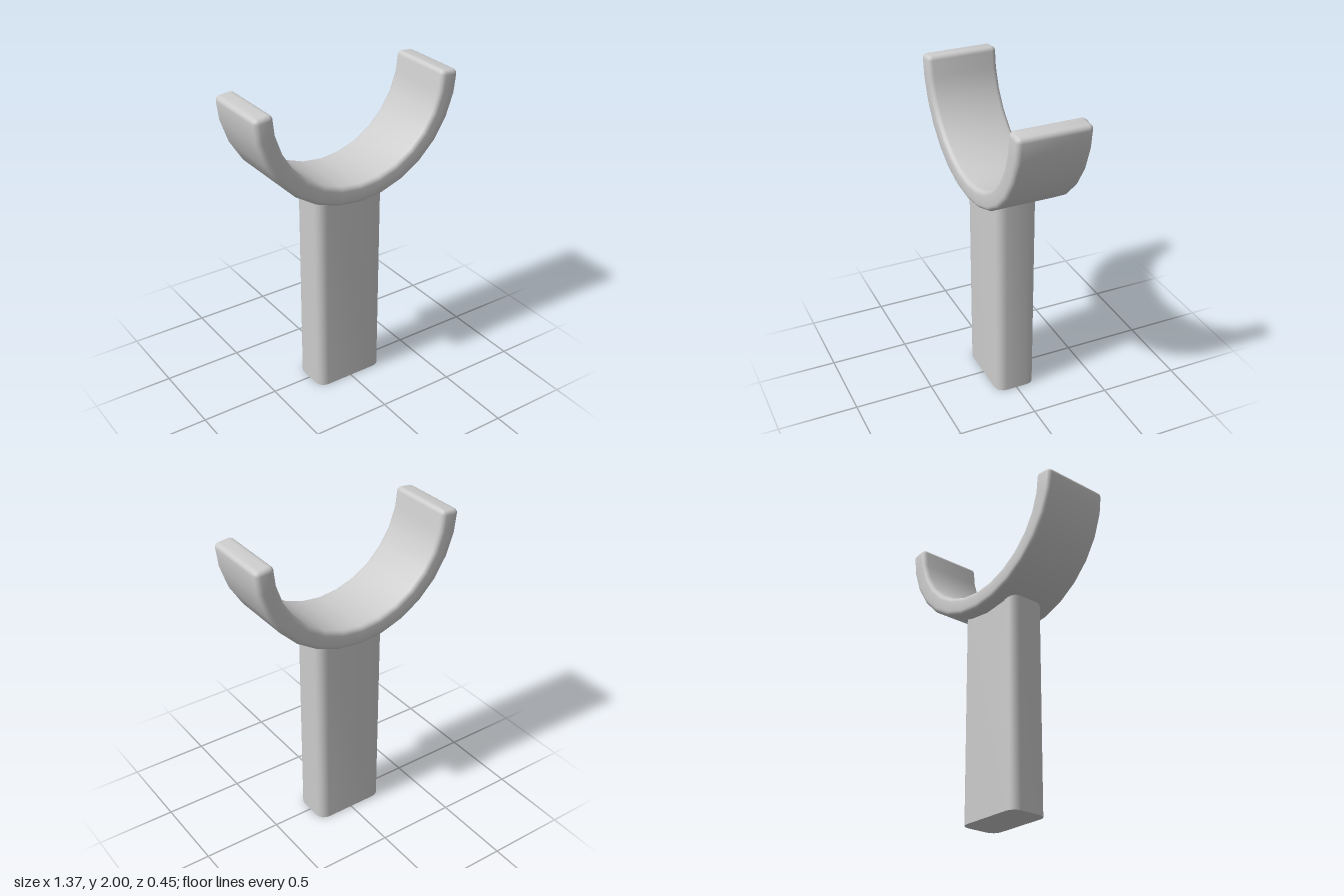
import * as THREE from 'three';
import { toCreasedNormals } from 'three/addons/utils/BufferGeometryUtils.js';

// Rounded rectangle as a counter-clockwise list of points
function roundedRect(hw, hh, r, steps = 4) {
  const pts = [];
  [[1, 1], [-1, 1], [-1, -1], [1, -1]].forEach(([sx, sy], k) => {
    for (let i = 0; i <= steps; i++) {
      const a = (k + i / steps) * Math.PI / 2;
      pts.push(new THREE.Vector2(sx * (hw - r) + r * Math.cos(a), sy * (hh - r) + r * Math.sin(a)));
    }
  });
  return pts;
}

// Half-ring swept from a rounded section, with rounded ends
function cradleGeometry() {
  const R = 0.63, cy = 1.995, hw = 0.06, hd = 0.225, bevel = 0.028, segs = 14;
  const step = Math.PI / segs, endDir = Math.PI / 2 - step / 2;
  const rings = [];
  const end = (s) => {
    const list = [];
    for (let k = 0; k <= 4; k++) {
      const t = k / 4 * Math.PI / 2;
      const back = bevel * (1 - Math.sin(t));
      list.push({
        x: s * (R - back * Math.cos(endDir)), y: cy - back * Math.sin(endDir),
        dir: s * endDir, inset: bevel * (1 - Math.cos(t)) * 0.98,
      });
    }
    return list;
  };
  rings.push(...end(-1).reverse());
  for (let i = 1; i < segs; i++) {
    const a = -Math.PI / 2 + i * step;
    rings.push({ x: R * Math.sin(a), y: cy + 0.005 - R * Math.cos(a), dir: a, inset: 0 });
  }
  rings.push(...end(1));

  const pos = [], index = [];
  let n = 0;
  for (const { x, y, dir, inset } of rings) {
    const section = roundedRect(hw - inset, hd - inset, 0.03 - inset);
    n = section.length;
    for (const p of section) pos.push(x + p.x * Math.sin(dir), y - p.x * Math.cos(dir), p.y);
  }
  for (let i = 0; i < rings.length - 1; i++) {
    for (let j = 0; j < n; j++) {
      const a = i * n + j, b = i * n + (j + 1) % n;
      index.push(a, a + n, b, b, a + n, b + n);
    }
  }
  // Flat end caps
  const first = rings[0], last = rings[rings.length - 1], c = rings.length * n;
  pos.push(first.x, first.y, 0, last.x, last.y, 0);
  for (let j = 0; j < n; j++) {
    const k = (j + 1) % n, o = (rings.length - 1) * n;
    index.push(c, j, k, c + 1, o + k, o + j);
  }
  const g = new THREE.BufferGeometry();
  g.setAttribute('position', new THREE.Float32BufferAttribute(pos, 3));
  g.setIndex(index);
  return toCreasedNormals(g, 0.65);
}

export function createModel() {
  const model = new THREE.Group();
  model.name = 'cradleSupport';
  const material = new THREE.MeshStandardMaterial({ color: 0xcccccc });
  const add = (name, geometry) => {
    const mesh = new THREE.Mesh(geometry, material);
    mesh.name = name;
    model.add(mesh);
  };

  // Upright post with rounded vertical edges, its top sunk into the cradle
  const post = new THREE.ExtrudeGeometry(new THREE.Shape(roundedRect(0.235, 0.13, 0.06)),
    { depth: 1.38, bevelEnabled: false });
  post.rotateX(-Math.PI / 2);
  add('post', toCreasedNormals(post, 0.65));

  // Open half-ring on top
  add('cradle', cradleGeometry());
  return model;
}
